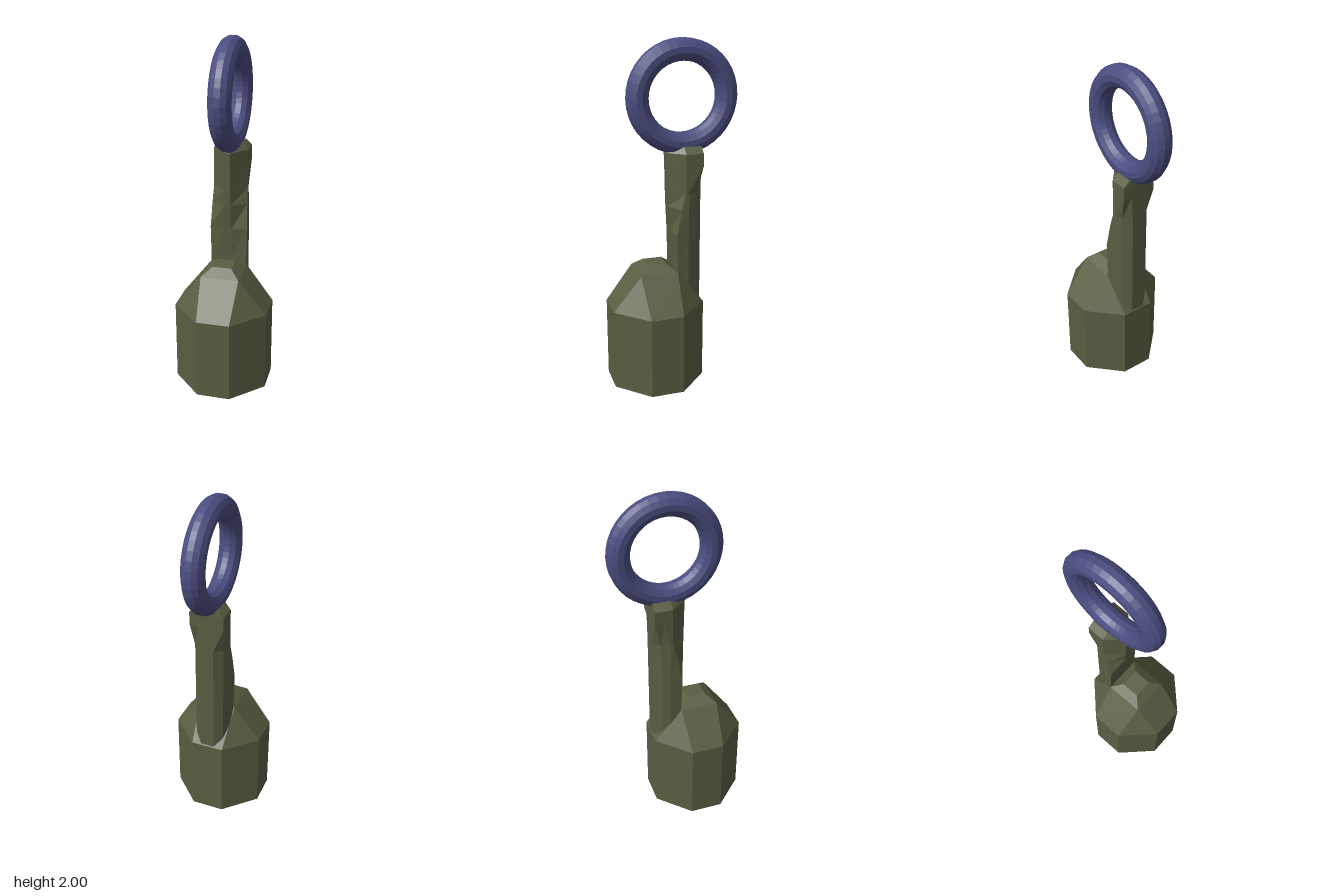
import * as THREE from 'three';

const material = (color) => new THREE.MeshStandardMaterial({ color, flatShading: true, roughness: 0.8 });

// Lofts mirrored cross-sections. Each level is [y, [x, z], ...], listing the
// +x half of the outline from front to back.
function loft(levels) {
  const rings = levels.map(([y, ...half]) => [
    ...half.map(([x, z]) => new THREE.Vector3(x, y, z)),
    ...half.slice().reverse().map(([x, z]) => new THREE.Vector3(-x, y, z)),
  ]);
  const points = [];
  const tri = (a, b, c) => {
    if (new THREE.Triangle(a, b, c).getArea() > 1e-7) points.push(a, b, c);
  };
  const n = rings[0].length;
  for (let i = 0; i < rings.length - 1; i++) {
    const low = rings[i], high = rings[i + 1];
    for (let j = 0; j < n; j++) {
      const k = (j + 1) % n;
      tri(low[j], low[k], high[k]);
      tri(low[j], high[k], high[j]);
    }
  }
  const bottom = rings[0], top = rings[rings.length - 1];
  for (let j = 1; j < n - 1; j++) {
    tri(bottom[0], bottom[j + 1], bottom[j]);
    tri(top[0], top[j], top[j + 1]);
  }
  const geometry = new THREE.BufferGeometry().setFromPoints(points);
  geometry.computeVertexNormals();
  return geometry;
}

export function createModel() {
  const group = new THREE.Group();
  const green = material(0x5a5e42);
  const blue = material(0x4a4d80);

  const add = (name, geometry, mat) => {
    const mesh = new THREE.Mesh(geometry, mat);
    mesh.name = name;
    group.add(mesh);
    return mesh;
  };

  // Octagonal body whose shoulders narrow to a square, then a small flat cap
  const octagon = [[0.095, 0.38], [0.27, 0.205], [0.27, 0.015], [0.095, -0.16]];
  add('body', loft([
    [0, ...octagon],
    [0.48, ...octagon],
    [0.685, [0.11, 0.22], [0.11, 0.22], [0.11, 0], [0.11, 0]],
    [0.73, [0.055, 0.165], [0.055, 0.165], [0.055, 0.055], [0.055, 0.055]],
  ]), green);

  // Stem: flat front and rounded back below, ridged front and square back above
  const back = [[0.105, -0.065], [0.085, -0.115], [0.04, -0.155]];
  add('stem', loft([
    [0.43, [0.018, 0], [0.105, 0], ...back],
    [0.72, [0.018, 0], [0.105, 0], ...back],
    [0.91, [0.018, 0.018], [0.108, 0.004], ...back],
    [1.06, [0.018, 0.037], [0.103, -0.025], ...back],
    [1.15, [0.018, 0.04], [0.1, -0.05], [0.1, -0.065], [0.085, -0.115], [0.04, -0.155]],
    [1.3, [0.018, 0.043], [0.1, -0.05], [0.1, -0.1], [0.1, -0.152], [0.05, -0.155]],
    [1.375, [0.018, 0.046], [0.1, -0.05], [0.1, -0.1], [0.1, -0.152], [0.05, -0.155]],
    [1.41, [0.018, 0.01], [0.065, -0.05], [0.065, -0.1], [0.065, -0.15], [0.04, -0.153]],
  ]), green);

  // Pull ring standing in the side plane, with a twelve-sided tube
  const tube = [];
  for (let i = 0; i <= 12; i++) {
    const a = ((i + 0.5) / 12) * Math.PI * 2;
    tube.push(new THREE.Vector2(0.258 + 0.0635 * Math.cos(a), 0.0635 * Math.sin(a)));
  }
  const ring = add('pullRing', new THREE.LatheGeometry(tube, 40).rotateZ(Math.PI / 2), blue);
  ring.position.set(0, 1.68, -0.057);

  return group;
}
